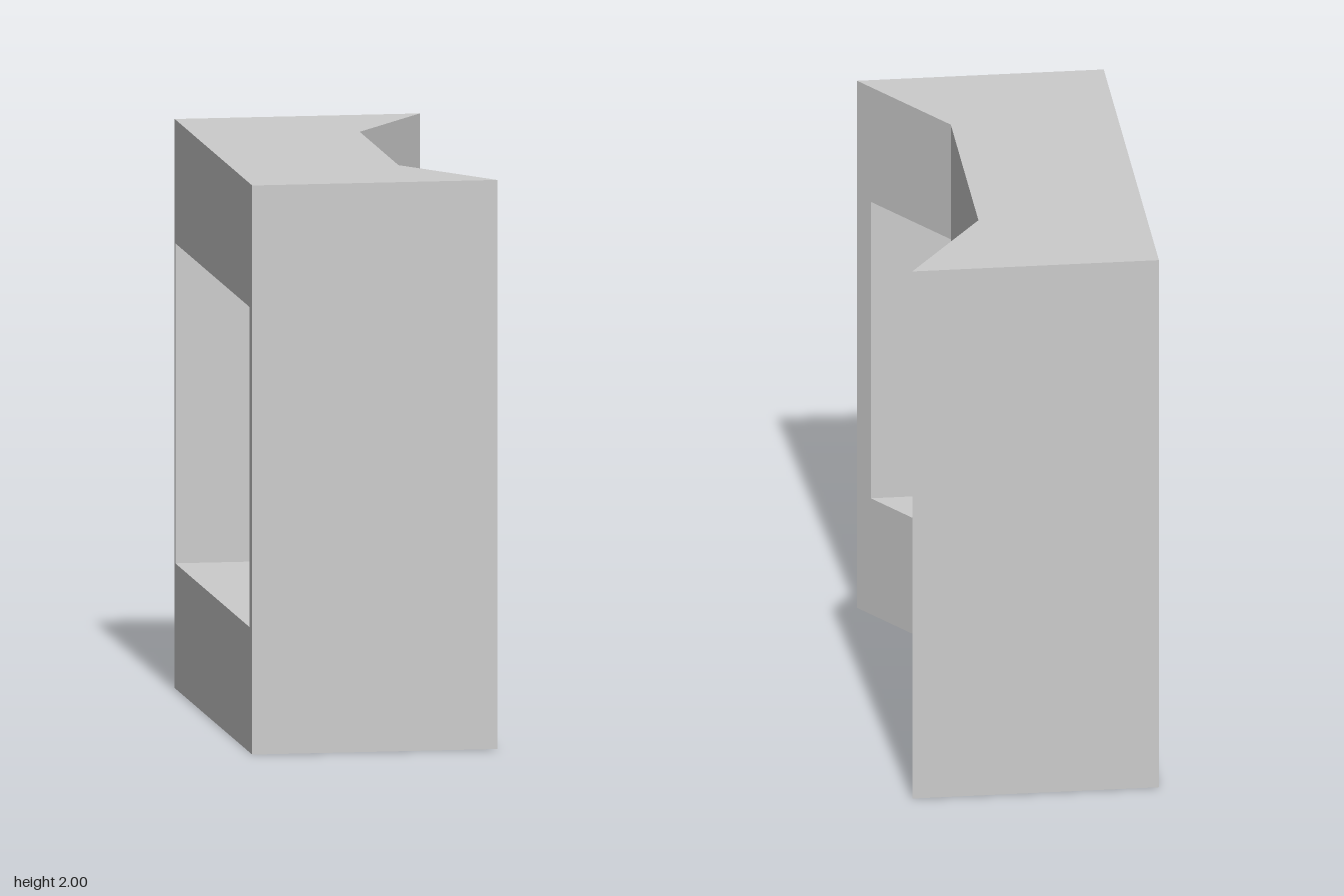
import * as THREE from 'three';

// Flat-sided mesh from quads whose corners run counter-clockwise seen from outside
function quadMesh(name, quads) {
  const pos = [];
  for (const [a, b, c, d] of quads) pos.push(...a, ...b, ...c, ...a, ...c, ...d);
  const geo = new THREE.BufferGeometry();
  geo.setAttribute('position', new THREE.Float32BufferAttribute(pos, 3));
  geo.computeVertexNormals();
  const mesh = new THREE.Mesh(geo, new THREE.MeshStandardMaterial({ color: 0xcccccc, flatShading: true }));
  mesh.name = name;
  return mesh;
}

const H = 2, X = 0.432, Z = 0.838;            // height, half width, half depth
const FLOOR = 0.44, CEIL = 1.565;             // opening heights
const Z_FRONT = 0.777, Z_BACK = -0.827;       // opening ends
const WAIST = 0.152, FOLD = 0.42;             // recessed side and where it flares out

// Flared +x outline of the plan
const flare = z => WAIST + (X - WAIST) * Math.max(0, Math.abs(z) - FOLD) / (Z - FOLD);

// Faces of a length of the body from z0 (front) to z1 (back)
const sides = (z0, z1, y0, y1) => {
  const a = flare(z0), b = flare(z1);
  return [
    [[a, y0, z0], [b, y0, z1], [b, y1, z1], [a, y1, z0]],
    [[-X, y0, z1], [-X, y0, z0], [-X, y1, z0], [-X, y1, z1]],
  ];
};
const level = (z0, z1, y, up) => {
  const q = [[-X, y, z0], [flare(z0), y, z0], [flare(z1), y, z1], [-X, y, z1]];
  return up ? q : q.reverse();
};
const upright = (z, y0, y1, front) => {
  const x = flare(z);
  const q = [[-X, y0, z], [x, y0, z], [x, y1, z], [-X, y1, z]];
  return front ? q : q.reverse();
};

export function createModel() {
  const group = new THREE.Group();
  group.name = 'openFrame';

  // Upright walls, full height on the outside with the opening's jamb inside
  group.add(quadMesh('frontWall', [
    ...sides(Z, Z_FRONT, 0, H), level(Z, Z_FRONT, H, true), level(Z, Z_FRONT, 0, false),
    upright(Z, 0, H, true), upright(Z_FRONT, FLOOR, CEIL, false),
  ]));
  group.add(quadMesh('backWall', [
    ...sides(Z_BACK, -Z, 0, H), level(Z_BACK, -Z, H, true), level(Z_BACK, -Z, 0, false),
    upright(-Z, 0, H, false), upright(Z_BACK, FLOOR, CEIL, true),
  ]));

  // Top and bottom beams, folded along the flared side
  const stations = [Z_FRONT, FOLD, -FOLD, Z_BACK];
  for (const [name, y0, y1] of [['bottomBeam', 0, FLOOR], ['topBeam', CEIL, H]]) {
    const quads = [];
    for (let i = 0; i < stations.length - 1; i++) {
      const z0 = stations[i], z1 = stations[i + 1];
      quads.push(...sides(z0, z1, y0, y1), level(z0, z1, y1, true), level(z0, z1, y0, false));
    }
    group.add(quadMesh(name, quads));
  }
  return group;
}
